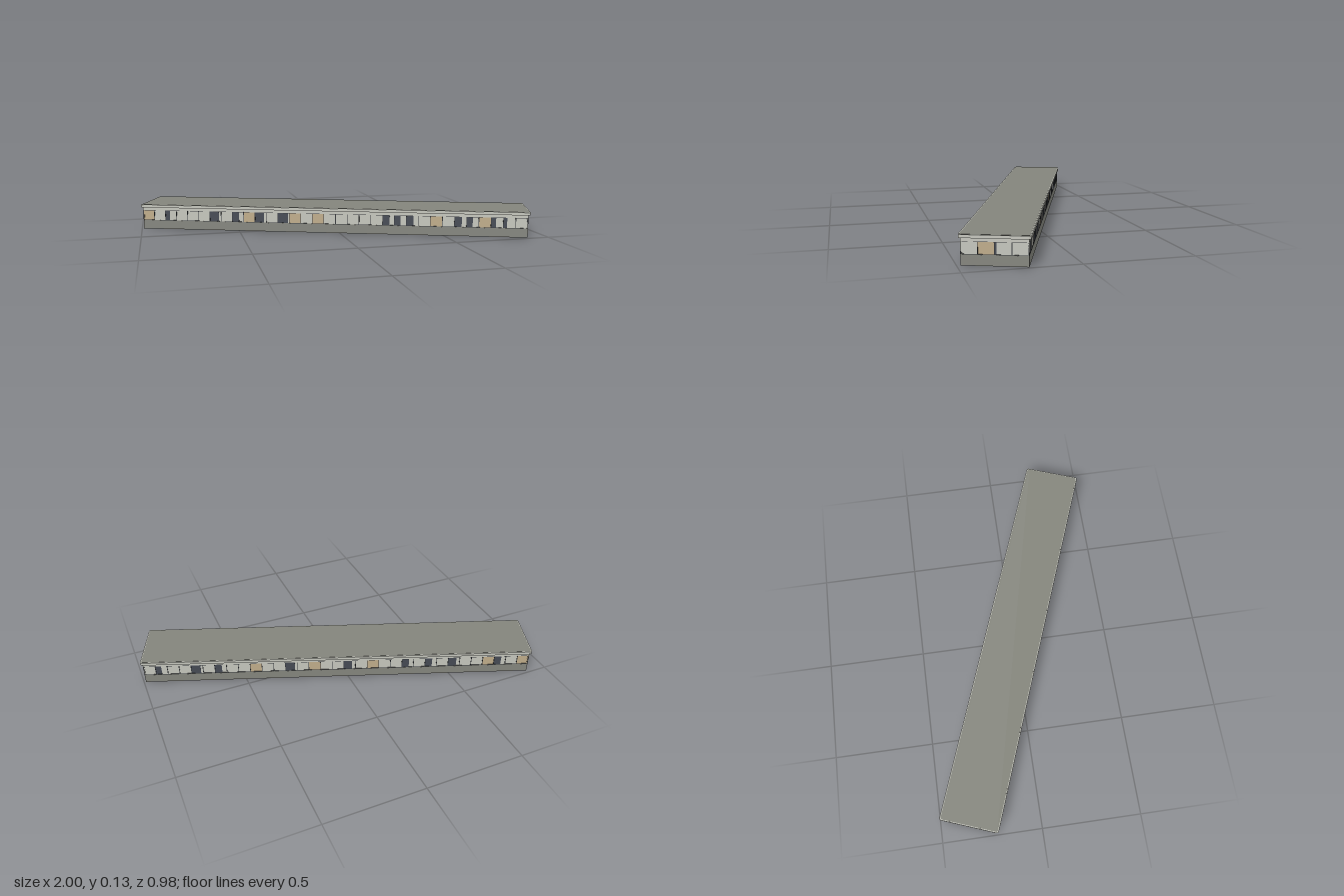
import * as THREE from 'three';

const mat = (name, color) => Object.assign(new THREE.MeshStandardMaterial({ color }), { name });

const HALF_L = 1.006, HALF_W = 0.139;         // outer wall half sizes
const SILL = 0.046, HEAD = 0.1, EAVE = 0.115, TOP = 0.13;

// rectangle in the ground plane, optionally with rounded corners
function rect(path, a, b, r = 0) {
  path.moveTo(-a + r, -b);
  path.lineTo(a - r, -b);
  if (r) path.quadraticCurveTo(a, -b, a, -b + r);
  path.lineTo(a, b - r);
  if (r) path.quadraticCurveTo(a, b, a - r, b);
  path.lineTo(-a + r, b);
  if (r) path.quadraticCurveTo(-a, b, -a, b - r);
  path.lineTo(-a, -b + r);
  if (r) path.quadraticCurveTo(-a, -b, -a + r, -b);
  path.closePath();
  return path;
}

// upright slab of a ground-plan shape between two heights
function slab(name, shape, y0, y1, material) {
  const geo = new THREE.ExtrudeGeometry(shape, { depth: y1 - y0, bevelEnabled: false, curveSegments: 4 });
  geo.rotateX(-Math.PI / 2);
  const mesh = new THREE.Mesh(geo, material);
  mesh.position.y = y0;
  mesh.name = name;
  return mesh;
}

function ring(a, b, t) {
  const shape = rect(new THREE.Shape(), a, b);
  shape.holes.push(rect(new THREE.Path(), a - t, b - t));
  return shape;
}

export function createModel() {
  const grey = mat('stone grey', 0x85867e);
  const roofGrey = mat('roof grey', 0x84857c);
  const light = mat('light panel', 0xc6c7be);
  const tan = mat('tan blind', 0xc0ad8b);
  const dark = mat('dark glass', 0x454a54);
  const frame = mat('frame', 0x33363a);

  const model = new THREE.Group();
  const building = new THREE.Group();
  building.name = 'building';
  building.rotation.y = -THREE.MathUtils.degToRad(20.6);
  model.add(building);

  const box = (parent, name, w, h, d, x, y, z, material) => {
    const mesh = new THREE.Mesh(new THREE.BoxGeometry(w, h, d), material);
    mesh.position.set(x, y, z);
    mesh.name = name;
    parent.add(mesh);
  };

  // open-bottomed wall, lintel, ceiling, overhanging cornice and roof
  building.add(
    slab('baseWall', ring(HALF_L, HALF_W, 0.006), 0, SILL, grey),
    slab('lintel', ring(HALF_L, HALF_W, 0.006), HEAD, EAVE, light),
    slab('ceiling', rect(new THREE.Shape(), HALF_L - 0.006, HALF_W - 0.006), EAVE - 0.002, EAVE, grey),
    slab('cornice', rect(new THREE.Shape(), 1.016, 0.1475, 0.012), EAVE, TOP - 0.001, light),
    slab('roof', rect(new THREE.Shape(), 1.011, 0.1425, 0.01), TOP - 0.001, TOP, roofGrey)
  );

  // one window band facing +z; '.' light, 'T' tan, a digit = tenths of dark glass
  function windowBand(name, pattern, length) {
    const band = new THREE.Group();
    band.name = name;
    const pitch = length / pattern.length, h = HEAD - SILL, y = (HEAD + SILL) / 2;
    [...pattern].forEach((c, i) => {
      const x0 = -length / 2 + i * pitch;
      box(band, 'windowPanel', pitch, h, 0.003, x0 + pitch / 2, y, -0.004, c === 'T' ? tan : light);
      if (c >= '1' && c <= '9') {
        const w = pitch * c / 10;
        box(band, 'darkGlass', w, h, 0.005, x0 + w / 2, y, -0.004, dark);
      }
    });
    for (let i = 0; i <= pattern.length; i++) {
      const x = THREE.MathUtils.clamp(-length / 2 + i * pitch, -length / 2 + 0.002, length / 2 - 0.002);
      box(band, 'mullion', 0.003, h, 0.006, x, y, -0.003, frame);
    }
    for (const ry of [SILL + 0.0008, HEAD - 0.0008])
      box(band, 'rail', length - 0.002, 0.0016, 0.005, 0, ry, -0.003, frame);
    building.add(band);
    return band;
  }

  const front = windowBand('frontWindows', 'T.4...8.6T8.9T.T.....656.T.65T43.', 2 * HALF_L);
  front.position.z = HALF_W;

  const back = windowBand('backWindows', '.5..8.6..T..8.T..7.T..6.6.7..T6.T', 2 * HALF_L);
  back.position.z = -HALF_W;
  back.rotation.y = Math.PI;

  const left = windowBand('leftEndWindows', '.T1.', 2 * HALF_W);
  left.position.x = HALF_L;
  left.rotation.y = Math.PI / 2;

  const right = windowBand('rightEndWindows', 'T.5T', 2 * HALF_W);
  right.position.x = -HALF_L;
  right.rotation.y = -Math.PI / 2;

  return model;
}
